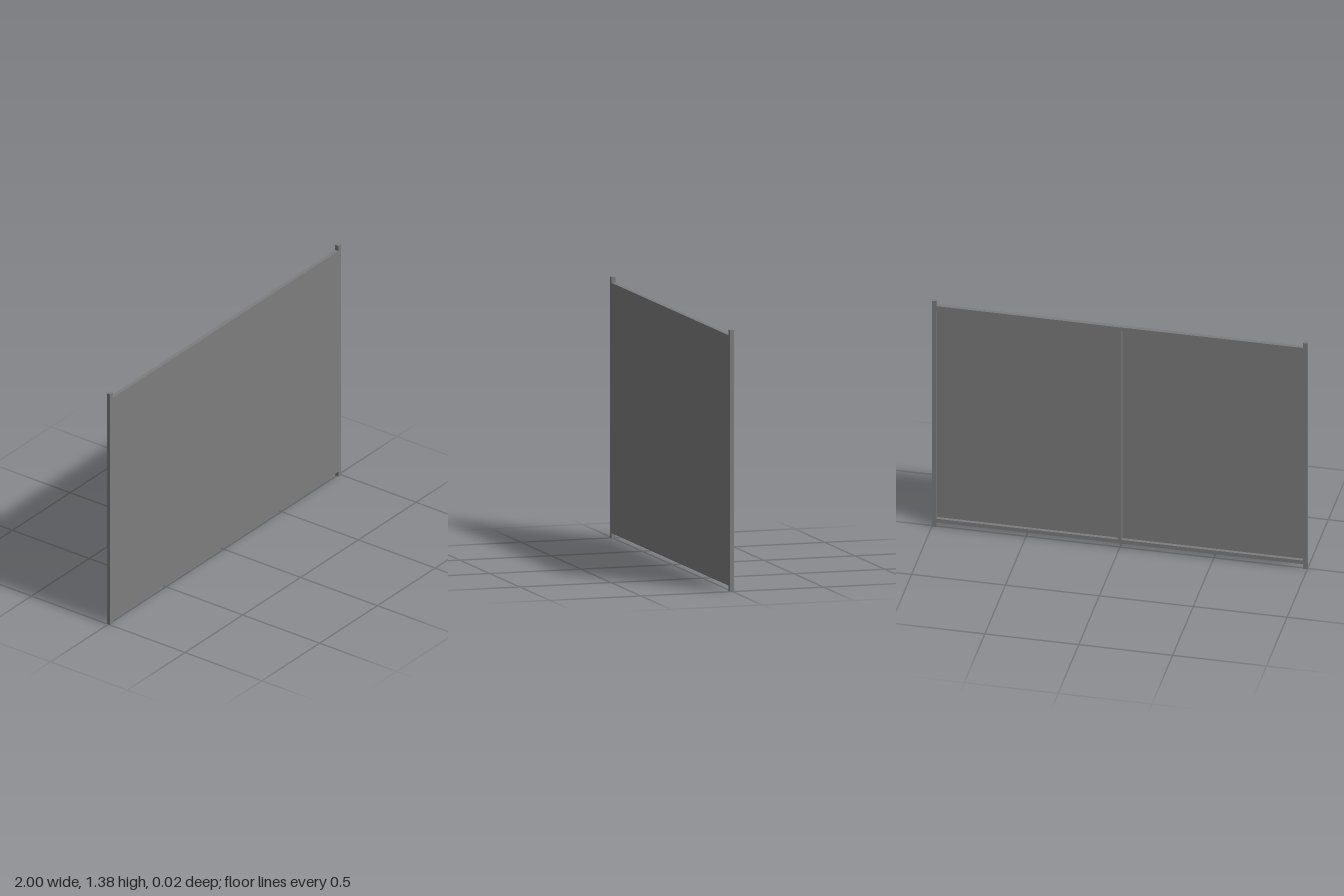
import * as THREE from 'three';

export function createModel() {
  const group = new THREE.Group();
  const material = new THREE.MeshStandardMaterial({ color: 0x7d7d7d, flatShading: true });

  const height = 1.375, post = 0.024, bar = 0.022, front = 0.012, back = -0.0087;
  const panelLow = 0.028, panelHigh = 1.345, skin = 0.002, bow = 0.0033;

  // Box given by its limits on each axis
  function addBox(name, x0, x1, y0, y1, z0, z1, segments = 1) {
    const geometry = new THREE.BoxGeometry(x1 - x0, y1 - y0, z1 - z0, segments, 1, 1);
    geometry.translate((x0 + x1) / 2, (y0 + y1) / 2, (z0 + z1) / 2);
    const mesh = new THREE.Mesh(geometry, material);
    mesh.name = name;
    group.add(mesh);
    return mesh;
  }

  // Push the rear face outwards by a rule of x and y
  function bulgeBack(mesh, rule) {
    const p = mesh.geometry.attributes.position;
    for (let i = 0; i < p.count; i++) {
      if (p.getZ(i) < 0) p.setZ(i, p.getZ(i) - rule(p.getX(i), p.getY(i)));
    }
    mesh.geometry.computeVertexNormals();
  }

  // Upright posts, standing past the panel at both ends
  const inner = 1 - post;
  addBox('leftPost', inner, 1, 0, height, back, front);
  addBox('rightPost', -1, -inner, 0, height, back, front);

  // Thin front sheet
  addBox('panel', -inner, inner, panelLow, panelHigh, front - skin, front);

  // Horizontal rails behind the sheet; the top one bows slightly backwards
  const railFront = front - skin;
  addBox('bottomRail', -inner, inner, panelLow, panelLow + bar, back, railFront);
  const topRail = addBox('topRail', -inner, inner, panelHigh - bar, panelHigh, back, railFront, 8);
  bulgeBack(topRail, (x) => bow * (1 - Math.abs(x) / inner) ** 2);

  // Middle stiffener, following the bow of the top rail
  const brace = addBox('middlePost', -bar / 2, bar / 2, panelLow + bar, panelHigh - bar, back, railFront);
  bulgeBack(brace, (x, y) => bow * (y - panelLow) / (panelHigh - panelLow));

  return group;
}
